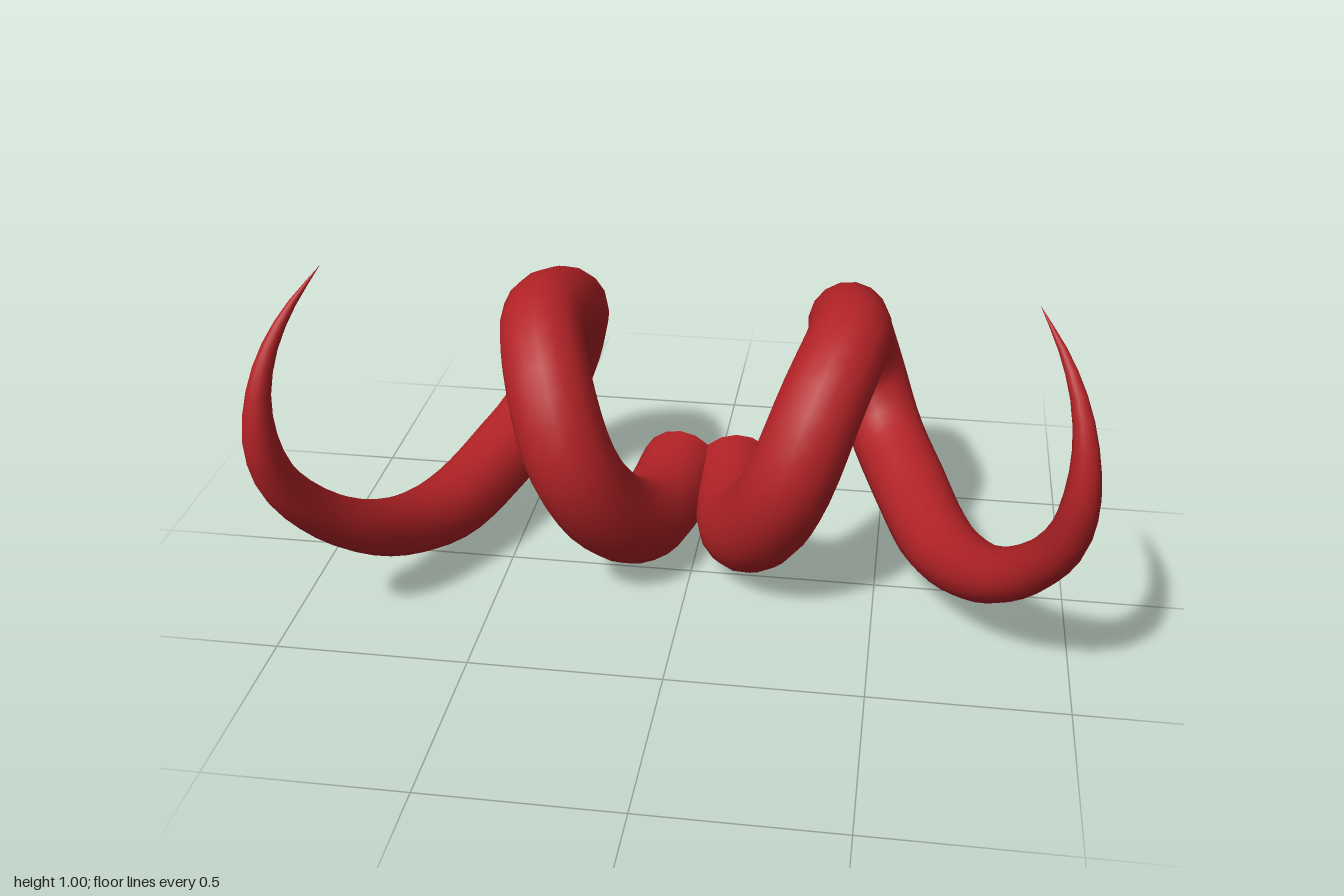
import * as THREE from 'three';

// Centreline of the left horn from base to tip: x, y, z, radius
const STATIONS = [
  [0.08, 0.13, -0.36, 0.115], [0.105, 0.12, -0.17, 0.115], [0.145, 0.155, 0, 0.119],
  [0.21, 0.26, 0.125, 0.118], [0.28, 0.43, 0.195, 0.115], [0.345, 0.61, 0.13, 0.111],
  [0.4, 0.71, -0.05, 0.108], [0.39, 0.675, -0.225, 0.108], [0.395, 0.59, -0.38, 0.107],
  [0.44, 0.42, -0.47, 0.105], [0.5, 0.272, -0.405, 0.104], [0.575, 0.2, -0.23, 0.103],
  [0.655, 0.168, 0, 0.097], [0.725, 0.188, 0.15, 0.085], [0.8, 0.255, 0.295, 0.071],
  [0.88, 0.36, 0.41, 0.06], [0.938, 0.49, 0.495, 0.052], [0.957, 0.62, 0.53, 0.043],
  [0.954, 0.74, 0.514, 0.03], [0.932, 0.84, 0.47, 0.02], [0.895, 0.92, 0.41, 0.011],
  [0.838, 1.0, 0.333, 0],
];
const RINGS = 64, SIDES = 16;

// Open tube along the centreline, each ring scaled to the tapering radius
function hornGeometry(side) {
  const curve = new THREE.CatmullRomCurve3(
    STATIONS.map(([x, y, z]) => new THREE.Vector3(side * x, y, z)));
  const geo = new THREE.TubeGeometry(curve, RINGS, 1, SIDES, false);
  const pos = geo.attributes.position, v = new THREE.Vector3();
  for (let i = 0; i <= RINGS; i++) {
    const u = i / RINGS;
    const centre = curve.getPointAt(u);
    const s = curve.getUtoTmapping(u) * (STATIONS.length - 1);
    const k = Math.min(Math.floor(s), STATIONS.length - 2);
    const radius = THREE.MathUtils.lerp(STATIONS[k][3], STATIONS[k + 1][3], s - k);
    for (let j = 0; j <= SIDES; j++) {
      const n = i * (SIDES + 1) + j;
      v.fromBufferAttribute(pos, n).sub(centre).multiplyScalar(radius).add(centre);
      pos.setXYZ(n, v.x, v.y, v.z);
    }
  }
  return geo;
}

export function createModel() {
  const group = new THREE.Group();
  group.name = 'curledHorns';
  const red = new THREE.MeshStandardMaterial({ color: 0xb22226, side: THREE.DoubleSide });
  red.name = 'hornRed';
  for (const [name, side] of [['leftHorn', 1], ['rightHorn', -1]]) {
    const horn = new THREE.Mesh(hornGeometry(side), red);
    horn.name = name;
    group.add(horn);
  }
  return group;
}
